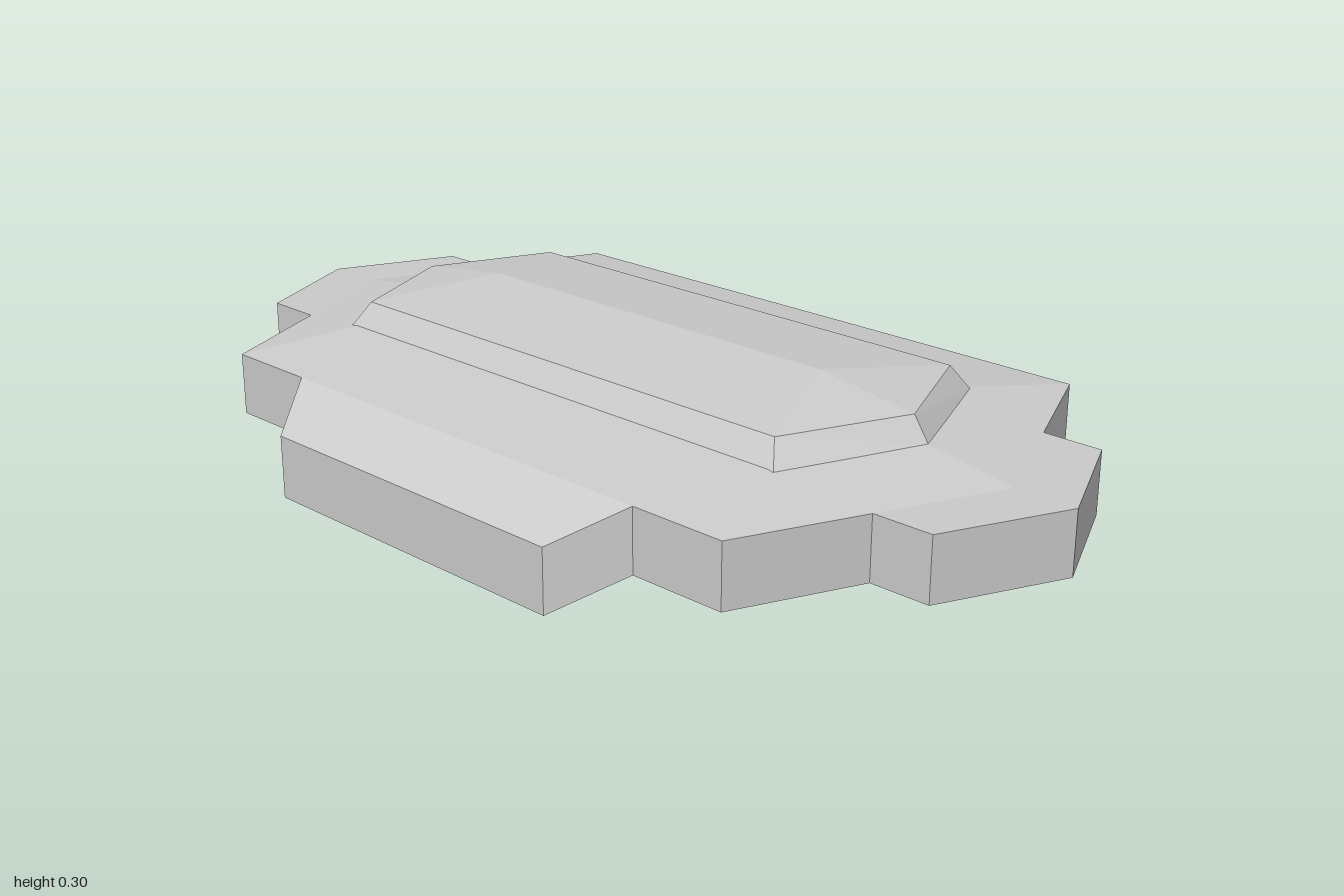
import * as THREE from 'three';

// Mirrors the flat faces of one quarter (x >= 0, z >= 0) into all four quarters.
function mirroredMesh(name, faces) {
  const positions = [];
  for (const sx of [1, -1]) {
    for (const sz of [1, -1]) {
      for (const face of faces) {
        const ring = face.map(([x, y, z]) => [x * sx, y, z * sz]);
        if (sx * sz < 0) ring.reverse();
        for (let i = 1; i < ring.length - 1; i++) {
          positions.push(...ring[0], ...ring[i], ...ring[i + 1]);
        }
      }
    }
  }
  const geometry = new THREE.BufferGeometry();
  geometry.setAttribute('position', new THREE.Float32BufferAttribute(positions, 3));
  geometry.computeVertexNormals();
  const mesh = new THREE.Mesh(geometry, new THREE.MeshStandardMaterial({ color: 0xcccccc, flatShading: true }));
  mesh.name = name;
  return mesh;
}

// Strip of faces from an upper edge line down to a lower one.
function strip(upper, lower) {
  return upper.slice(1).map((p, i) => [upper[i], lower[i], lower[i + 1], p]);
}

export function createModel() {
  const group = new THREE.Group();
  group.name = 'armourPlate';

  const thickness = 0.128;
  const rim = 0.192;
  const flapY = 0.128;
  const ridgeZ = 0.44;
  const drop = ([x, y, z]) => [x, y - thickness, z];

  // Plate corners, from the end tip round to the middle of the side
  const tip = [0, rim, 1];
  const tabOuter = [0.255, rim, 0.888];
  const tabInner = [0.255, rim, 0.765];
  const shoulder = [0.51, rim, 0.658];
  const flapRoot = [0.51, rim, 0.457];
  const flapEdge = [0.633, flapY, 0.365];
  const flapMiddle = [0.633, flapY, 0];
  const sideMiddle = [0.51, rim, 0];
  const roofFoot = [0, rim, 0.873];
  const ridgeEnd = [0, 0.262, ridgeZ];
  const ridgeMiddle = [0, 0.262, 0];

  // Hipped plate with end tabs and drooping side flaps; underside is parallel
  const top = [
    [ridgeEnd, roofFoot, tabInner, shoulder],
    [ridgeMiddle, ridgeEnd, shoulder, flapRoot, sideMiddle],
    [roofFoot, tip, tabOuter, tabInner],
    [sideMiddle, flapRoot, flapEdge, flapMiddle],
  ];
  const underside = top.map((face) => face.map(drop).reverse());
  const outline = [tip, tabOuter, tabInner, shoulder, flapRoot, flapEdge, flapMiddle];
  const walls = strip(outline, outline.map(drop));
  group.add(mirroredMesh('basePlate', [...top, ...underside, ...walls]));

  // Raised centre panel with bevelled sides and a hipped top
  const foot = [[0, 0.221, 0.69], [0.288, 0.221, 0.576], [0.288, 0.221, 0]];
  const crown = [[0, 0.27, 0.657], [0.256, 0.27, 0.55], [0.256, 0.27, 0]];
  const peakEnd = [0, 0.3, ridgeZ];
  const peakMiddle = [0, 0.3, 0];
  group.add(mirroredMesh('raisedPanel', [
    ...strip(crown, foot),
    [peakEnd, crown[0], crown[1]],
    [peakMiddle, peakEnd, crown[1], crown[2]],
  ]));

  return group;
}
